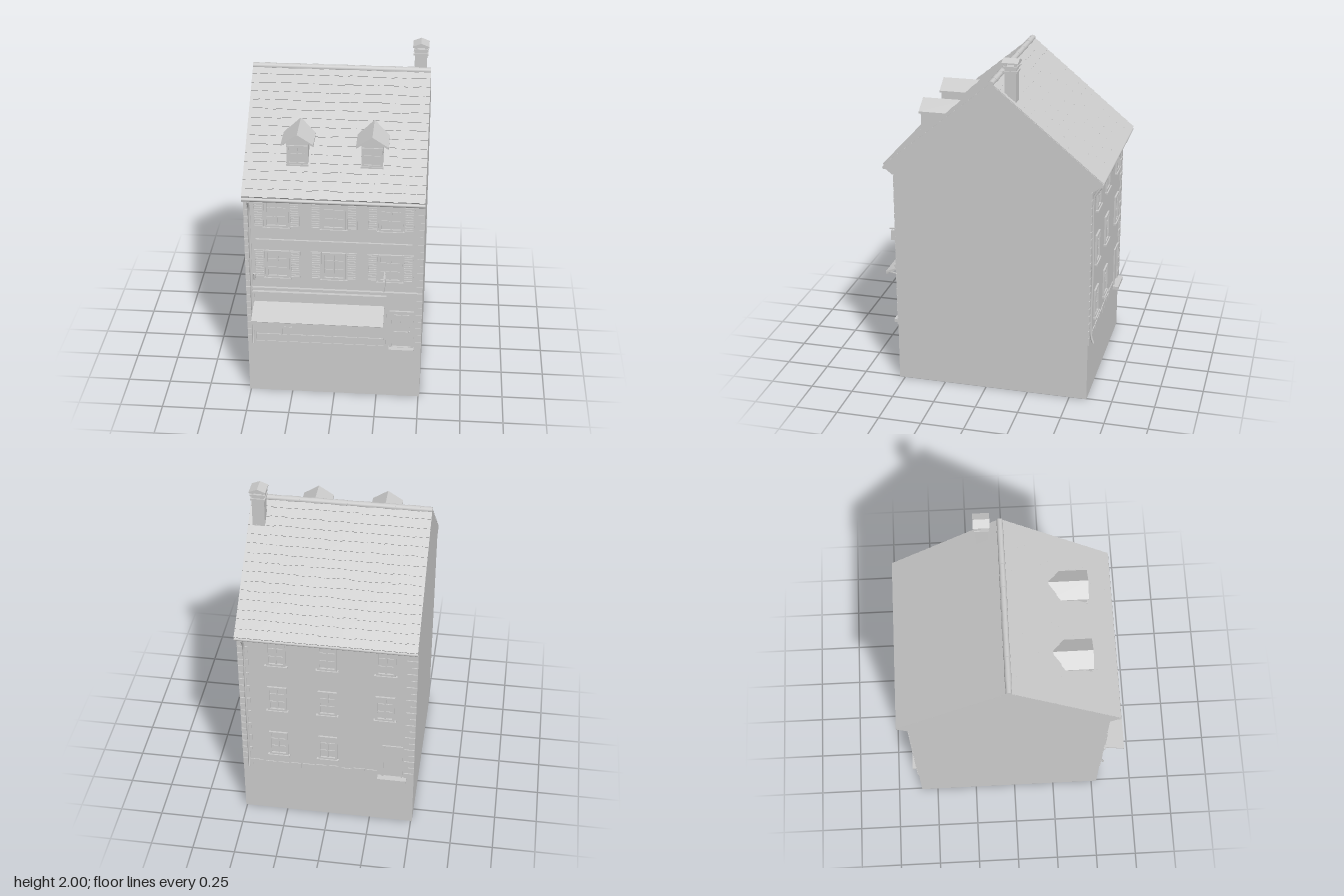
import * as THREE from 'three';
import { mergeGeometries } from 'three/addons/utils/BufferGeometryUtils.js';

const stone = new THREE.MeshStandardMaterial({ color: 0xcccccc });
stone.name = 'plain grey';

const W = 1.015, FRONT = 0.533, BACK = -0.602, RIDGE_Z = -0.035, RIDGE_Y = 1.865, SLOPE = 0.83;

let seed = 7;
const rand = () => (seed = (seed * 16807) % 2147483647) / 2147483647;

const boxGeo = (w, h, d, x, y, z) => new THREE.BoxGeometry(w, h, d).translate(x, y, z);

function add(parent, name, geo) {
  const mesh = new THREE.Mesh(Array.isArray(geo) ? mergeGeometries(geo) : geo, stone);
  mesh.name = name;
  parent.add(mesh);
  return mesh;
}

function group(parent, name, x = 0, y = 0, z = 0) {
  const g = new THREE.Group();
  g.name = name;
  g.position.set(x, y, z);
  parent.add(g);
  return g;
}

// Extrudes an outline of [x, y] points along z
function extrude(points, depth, z0) {
  const shape = new THREE.Shape(points.map(p => new THREE.Vector2(...p)));
  return new THREE.ExtrudeGeometry(shape, { depth, bevelEnabled: false }).translate(0, 0, z0);
}

// Extrudes an outline of [z, y] points across x, centred on cx
const extrudeAcross = (points, width, cx = 0) =>
  extrude(points, width, -width / 2).rotateY(-Math.PI / 2).translate(cx, 0, 0);

// Four bars around an opening whose lower middle is the origin
function frameGeos(w, h, bar, d) {
  return [
    boxGeo(bar, h, d, -w / 2 + bar / 2, h / 2, d / 2),
    boxGeo(bar, h, d, w / 2 - bar / 2, h / 2, d / 2),
    boxGeo(w - 2 * bar, bar, d, 0, bar / 2, d / 2),
    boxGeo(w - 2 * bar, bar, d, 0, h - bar / 2, d / 2),
  ];
}

function windowUnit(parent, x, y, z, w, h, back) {
  const g = group(parent, 'window', x, y, z);
  if (back) g.rotation.y = Math.PI;
  add(g, 'windowFrame', frameGeos(w, h, 0.013, 0.011));
  const bars = [boxGeo(0.01, h, 0.006, 0, h / 2, 0.003)];
  for (const t of [0.36, 0.68]) bars.push(boxGeo(w, 0.005, 0.005, 0, h * t, 0.0025));
  add(g, 'glazingBars', bars);
  add(g, 'windowSill', boxGeo(w + 0.02, 0.01, 0.018, 0, -0.004, 0.009));
  if (back) return;
  // Louvred shutters folded open on the wall
  for (const s of [-1, 1]) {
    const shutter = group(g, 'shutter', s * (w / 2 + 0.034), 0, 0);
    const geos = frameGeos(0.06, h, 0.007, 0.008);
    for (let i = 1; i < 12; i++) geos.push(boxGeo(0.05, 0.006, 0.006, 0, (i * h) / 12, 0.003));
    add(shutter, 'shutterLouvres', geos);
  }
}

function roofSlope(parent, name, length, back) {
  const g = group(parent, name, 0, RIDGE_Y, RIDGE_Z);
  g.rotation.order = 'YXZ';
  g.rotation.set(Math.atan(SLOPE), back ? Math.PI : 0, 0);
  add(g, 'roofDeck', boxGeo(W, 0.022, length, 0, -0.011, length / 2));
  // Overlapping courses of uneven shingles
  const tiles = [], rows = 15, pitch = length / rows;
  for (let r = 0; r < rows; r++) {
    let x = -W / 2;
    while (x < W / 2 - 0.001) {
      let w = 0.045 + rand() * 0.05;
      if (x + w > W / 2 - 0.03) w = W / 2 - x;
      const len = pitch + (r < rows - 1 ? rand() * 0.008 : 0);
      tiles.push(new THREE.BoxGeometry(w, 0.004, len).translate(0, 0, len / 2)
        .rotateX(-0.07).translate(x + w / 2, 0.001, r * pitch));
      x += w;
    }
  }
  add(g, 'roofShingles', tiles);
}

function dormer(parent, x) {
  const g = group(parent, 'dormer', x, 0, 0);
  add(g, 'dormerWalls', extrude([[-0.06, 1.45], [0.06, 1.45], [0.06, 1.605], [0, 1.645], [-0.06, 1.605]], 0.235, 0.2));
  add(g, 'dormerRoof', extrude([[-0.09, 1.592], [0, 1.648], [0.09, 1.592], [0.09, 1.604], [0, 1.662], [-0.09, 1.604]], 0.245, 0.2));
  const win = group(g, 'dormerWindow', 0, 1.48, 0.435);
  add(win, 'dormerFrame', [...frameGeos(0.115, 0.115, 0.012, 0.008), boxGeo(0.008, 0.11, 0.006, 0, 0.055, 0.003),
    boxGeo(0.1, 0.005, 0.005, 0, 0.065, 0.0025)]);
  add(win, 'dormerSill', boxGeo(0.125, 0.01, 0.014, 0, -0.002, 0.006));
}

function downpipe(parent, x, z, out) {
  const path = new THREE.CatmullRomCurve3([
    [x, 1.31, z + out * 0.05], [x, 1.28, z + out * 0.03], [x, 1.25, z + out * 0.012],
    [x, 0.8, z + out * 0.012], [x, 0.39, z + out * 0.012], [x, 0.35, z + out * 0.025],
  ].map(p => new THREE.Vector3(...p)));
  add(parent, 'downpipe', new THREE.TubeGeometry(path, 30, 0.007, 8));
}

export function createModel() {
  const house = new THREE.Group();
  house.name = 'townHouse';

  // Solid body with gable ends
  const eave = z => RIDGE_Y - 0.004 - Math.abs(z - RIDGE_Z) * SLOPE;
  add(house, 'houseBody', extrudeAcross([[BACK, 0], [FRONT, 0], [FRONT, eave(FRONT)], [RIDGE_Z, RIDGE_Y - 0.004], [BACK, eave(BACK)]], W));

  // Roof, ridge caps and eaves
  roofSlope(house, 'frontRoof', 0.815, false);
  roofSlope(house, 'backRoof', 0.82, true);
  const caps = [];
  for (let i = 0; i < 15; i++) {
    const r = 0.017 + (i % 2) * 0.002;
    caps.push(new THREE.CylinderGeometry(r, r, W / 15, 10).rotateZ(Math.PI / 2)
      .translate(-W / 2 + ((i + 0.5) * W) / 15, RIDGE_Y - 0.003, RIDGE_Z));
  }
  add(house, 'ridgeCaps', caps);
  for (const [z, out] of [[FRONT, 1], [BACK, -1]]) {
    const outline = [[z, 1.29], [z + out * 0.012, 1.29], [z + out * 0.05, 1.32], [z + out * 0.05, 1.345], [z, 1.385]];
    add(house, 'eaveCornice', extrudeAcross(out > 0 ? outline : outline.reverse(), W));
    add(house, 'gutter', new THREE.CylinderGeometry(0.011, 0.011, W, 10).rotateZ(Math.PI / 2).translate(0, 1.328, z + out * 0.056));
  }
  dormer(house, -0.21);
  dormer(house, 0.205);

  // Chimney with bands and a small gabled hood
  const chimney = group(house, 'chimney', 0.447, 0, -0.138);
  add(chimney, 'chimneyStack', boxGeo(0.07, 0.25, 0.065, 0, 1.825, 0));
  add(chimney, 'chimneyBands', [boxGeo(0.084, 0.01, 0.08, 0, 1.93, 0), boxGeo(0.084, 0.012, 0.08, 0, 1.955, 0)]);
  const posts = [];
  for (const sx of [-1, 1]) for (const sz of [-1, 1]) posts.push(boxGeo(0.012, 0.03, 0.012, sx * 0.028, 1.967, sz * 0.028));
  add(chimney, 'hoodPosts', posts);
  add(chimney, 'chimneyHood', extrude([[-0.046, 1.974], [0.046, 1.974], [0.046, 1.982], [0, 2], [-0.046, 1.982]], 0.092, -0.046));

  // Upper windows
  for (const x of [-0.322, 0, 0.32]) for (const y of [0.8, 1.13]) windowUnit(house, x, y, FRONT, 0.135, 0.177, false);
  for (const x of [0.29, 0, -0.33]) for (const y of [0.45, 0.79, 1.12]) {
    if (x < -0.1 && y < 0.5) continue;
    windowUnit(house, x, y, BACK, 0.11, 0.172, true);
  }

  // String courses
  add(house, 'upperStringCourse', boxGeo(0.885, 0.01, 0.012, 0, 1.045, FRONT + 0.006));
  add(house, 'shopCornice', [boxGeo(W, 0.012, 0.016, 0, 0.725, FRONT + 0.008), boxGeo(W, 0.008, 0.01, 0, 0.714, FRONT + 0.005)]);

  // Shopfront with fascia, pilasters and glazing
  const shop = group(house, 'shopfront', -0.085, 0.345, FRONT);
  add(shop, 'shopFrame', frameGeos(0.775, 0.355, 0.014, 0.01));
  add(shop, 'shopLedge', boxGeo(0.775, 0.01, 0.024, 0, 0.357, 0.012));
  add(shop, 'shopFascia', boxGeo(0.745, 0.06, 0.005, 0, 0.31, 0.0025));
  add(shop, 'stallRiser', boxGeo(0.745, 0.05, 0.006, 0, 0.036, 0.003));
  const mullions = [];
  for (let i = 1; i < 5; i++) mullions.push(boxGeo(0.008, 0.22, 0.006, -0.3725 + i * 0.149, 0.17, 0.003));
  add(shop, 'shopMullions', mullions);
  add(shop, 'menuBoard', boxGeo(0.045, 0.05, 0.008, -0.185, 0.09, 0.004));

  // Sloping awning with a scalloped valance and arms
  const awning = group(house, 'awning', -0.087, 0, 0);
  add(awning, 'awningCanopy', extrudeAcross([[FRONT, 0.622], [0.672, 0.57], [0.676, 0.58], [FRONT, 0.634]], 0.755));
  const valance = [[-0.3775, 0.578], [-0.3775, 0.562]];
  for (let i = 0; i < 16; i++) for (const t of [0.25, 0.5, 0.75, 1])
    valance.push([-0.3775 + ((i + t) / 16) * 0.755, 0.562 - 0.012 * Math.sin(Math.PI * t)]);
  valance.push([0.3775, 0.578]);
  add(awning, 'awningValance', extrude(valance, 0.004, 0.671));
  for (const s of [-1, 1])
    add(awning, 'awningArm', extrudeAcross([[FRONT, 0.54], [0.67, 0.566], [0.67, 0.572], [FRONT, 0.547]], 0.007, s * 0.36).translate(0, 0.004, 0));

  // Front door and step
  const door = group(house, 'frontDoor', 0.392, 0.345, FRONT);
  add(door, 'doorFrame', frameGeos(0.14, 0.258, 0.013, 0.012));
  add(door, 'doorPanels', [boxGeo(0.09, 0.09, 0.006, 0, 0.07, 0.003), boxGeo(0.04, 0.1, 0.006, -0.025, 0.18, 0.003), boxGeo(0.04, 0.1, 0.006, 0.025, 0.18, 0.003)]);
  add(door, 'doorHandle', new THREE.SphereGeometry(0.006, 10, 8).translate(0.045, 0.12, 0.01));
  add(door, 'doorStep', boxGeo(0.145, 0.018, 0.04, 0, 0.002, 0.02));

  // Back door and step
  const backDoor = group(house, 'backDoor', -0.38, 0.345, BACK);
  backDoor.rotation.y = Math.PI;
  add(backDoor, 'backDoorFrame', frameGeos(0.12, 0.25, 0.01, 0.008));
  add(backDoor, 'backDoorStep', boxGeo(0.17, 0.02, 0.038, 0, 0.002, 0.019));

  // Corner quoins and a broken line of plinth stones
  const quoins = [], plinth = [];
  for (let i = 0; i < 20; i++) for (const s of [-1, 1]) {
    const w = i % 2 ? 0.035 : 0.06;
    quoins.push(boxGeo(w, 0.042, 0.007, s * (W / 2 - w / 2), 0.37 + i * 0.047, BACK - 0.0035));
    quoins.push(boxGeo(w * 0.6, 0.042, 0.005, s * (W / 2 - w * 0.3), 0.37 + i * 0.047, FRONT + 0.0025));
  }
  for (let x = -0.26; x < 0.44; x += 0.075)
    plinth.push(boxGeo(0.05 + rand() * 0.02, 0.03 + rand() * 0.02, 0.005, x, 0.37, BACK - 0.0025));
  add(house, 'quoins', quoins);
  add(house, 'plinthStones', plinth);

  downpipe(house, -0.475, FRONT, 1);
  downpipe(house, 0.47, BACK, -1);

  // Hanging sign and wall lamp
  const sign = group(house, 'hangingSign', 0.29, 0, 0);
  add(sign, 'signBracket', [boxGeo(0.007, 0.007, 0.11, 0, 0.862, 0.59), boxGeo(0.01, 0.07, 0.006, 0, 0.835, FRONT + 0.006)]);
  add(sign, 'signBoard', boxGeo(0.01, 0.062, 0.088, 0, 0.82, 0.592));
  add(sign, 'signHangers', [boxGeo(0.004, 0.012, 0.004, 0, 0.855, 0.56), boxGeo(0.004, 0.012, 0.004, 0, 0.855, 0.625)]);
  add(house, 'wallLamp', new THREE.CylinderGeometry(0.009, 0.006, 0.04, 6).translate(-0.455, 0.8, FRONT + 0.01));

  return house;
}
